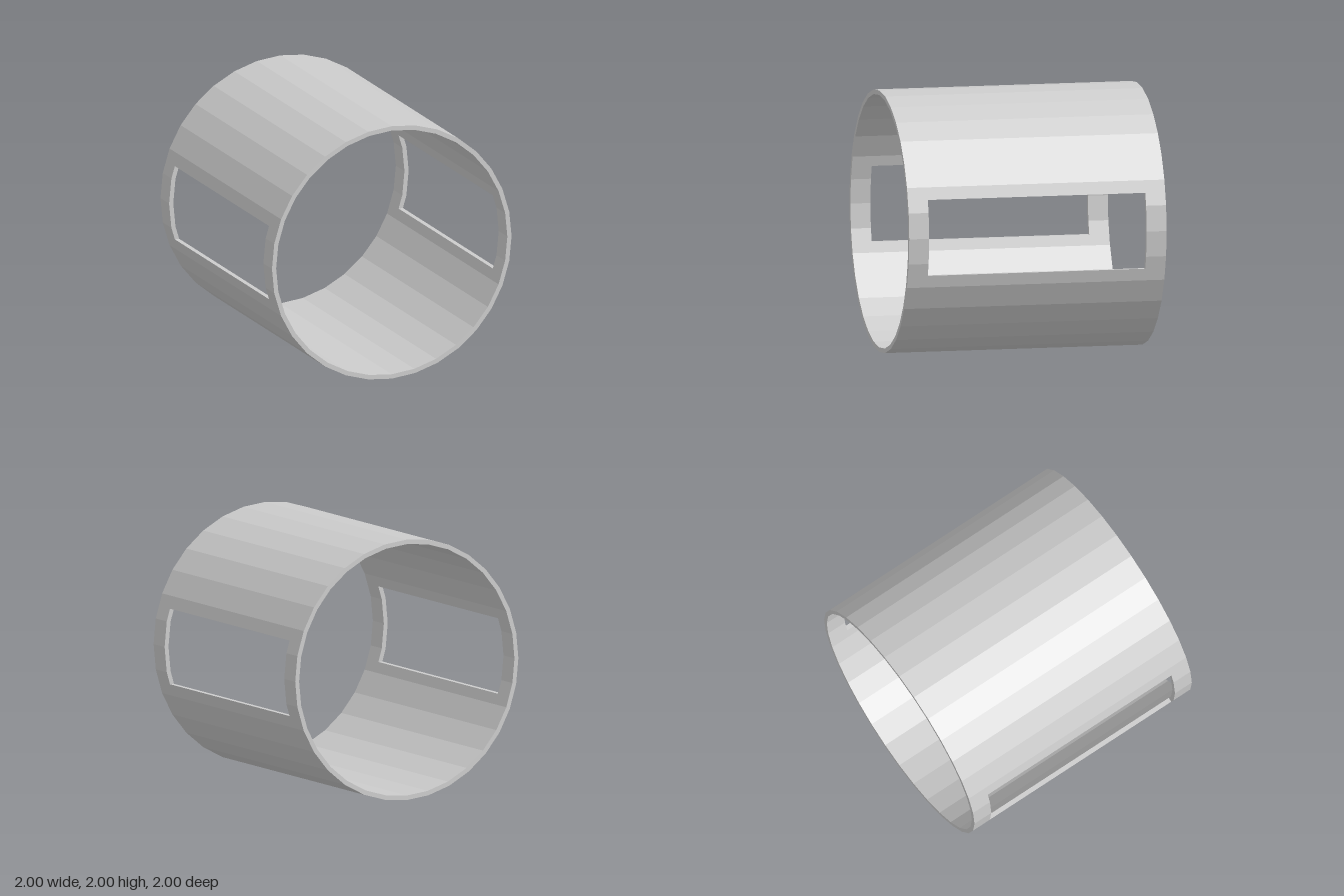
import * as THREE from 'three';

const SIDES = 32, OUTER = 1, INNER = 0.965;
const HALF_LENGTH = 1, WINDOW_Z = 0.845, WINDOW_Y = 0.29;

// Polygon ring with extra points where its edges cross the window heights
function ring(radius) {
  const points = [];
  const at = (i) => {
    const a = (i / SIDES) * Math.PI * 2;
    return new THREE.Vector2(Math.cos(a) * radius, Math.sin(a) * radius);
  };
  for (let i = 0; i < SIDES; i++) {
    const a = at(i), b = at(i + 1);
    points.push(a);
    for (const h of [-WINDOW_Y, WINDOW_Y]) {
      if ((a.y - h) * (b.y - h) < 0) points.push(a.clone().lerp(b, (h - a.y) / (b.y - a.y)));
    }
  }
  return points;
}

function tubeGeometry() {
  const out = ring(OUTER), inn = ring(INNER), n = out.length;
  const positions = [];
  const quad = (...corners) => {
    for (const k of [0, 1, 2, 0, 2, 3]) {
      const [p, z] = corners[k];
      positions.push(p.x, p.y, z);
    }
  };
  const isWindow = (i) => Math.abs(out[i].y + out[(i + 1) % n].y) / 2 < WINDOW_Y;

  for (let i = 0; i < n; i++) {
    const j = (i + 1) % n;
    const [a, b, c, d] = [out[i], out[j], inn[i], inn[j]];
    const frontFace = (z) => quad([c, z], [a, z], [b, z], [d, z]);
    const backFace = (z) => quad([d, z], [b, z], [a, z], [c, z]);
    const wall = (z0, z1) => {
      quad([a, z0], [b, z0], [b, z1], [a, z1]);
      quad([d, z0], [c, z0], [c, z1], [d, z1]);
    };

    // Rims at both open ends
    frontFace(HALF_LENGTH);
    backFace(-HALF_LENGTH);

    // End bands, and the wall between them where there is no window
    wall(-HALF_LENGTH, -WINDOW_Z);
    wall(WINDOW_Z, HALF_LENGTH);
    if (!isWindow(i)) {
      wall(-WINDOW_Z, WINDOW_Z);
      continue;
    }

    // Curved ends of the window
    frontFace(-WINDOW_Z);
    backFace(WINDOW_Z);

    // Long horizontal edges of the window
    if (!isWindow((i + n - 1) % n)) {
      quad([c, -WINDOW_Z], [c, WINDOW_Z], [a, WINDOW_Z], [a, -WINDOW_Z]);
    }
    if (!isWindow(j)) {
      quad([b, -WINDOW_Z], [b, WINDOW_Z], [d, WINDOW_Z], [d, -WINDOW_Z]);
    }
  }

  const geometry = new THREE.BufferGeometry();
  geometry.setAttribute('position', new THREE.Float32BufferAttribute(positions, 3));
  geometry.computeVertexNormals();
  return geometry;
}

export function createModel() {
  const group = new THREE.Group();
  group.name = 'windowedTube';
  const material = new THREE.MeshStandardMaterial({ color: 0xcccccc, flatShading: true });
  const tube = new THREE.Mesh(tubeGeometry(), material);
  tube.name = 'tubeWall';
  tube.position.y = OUTER;
  group.add(tube);
  return group;
}
